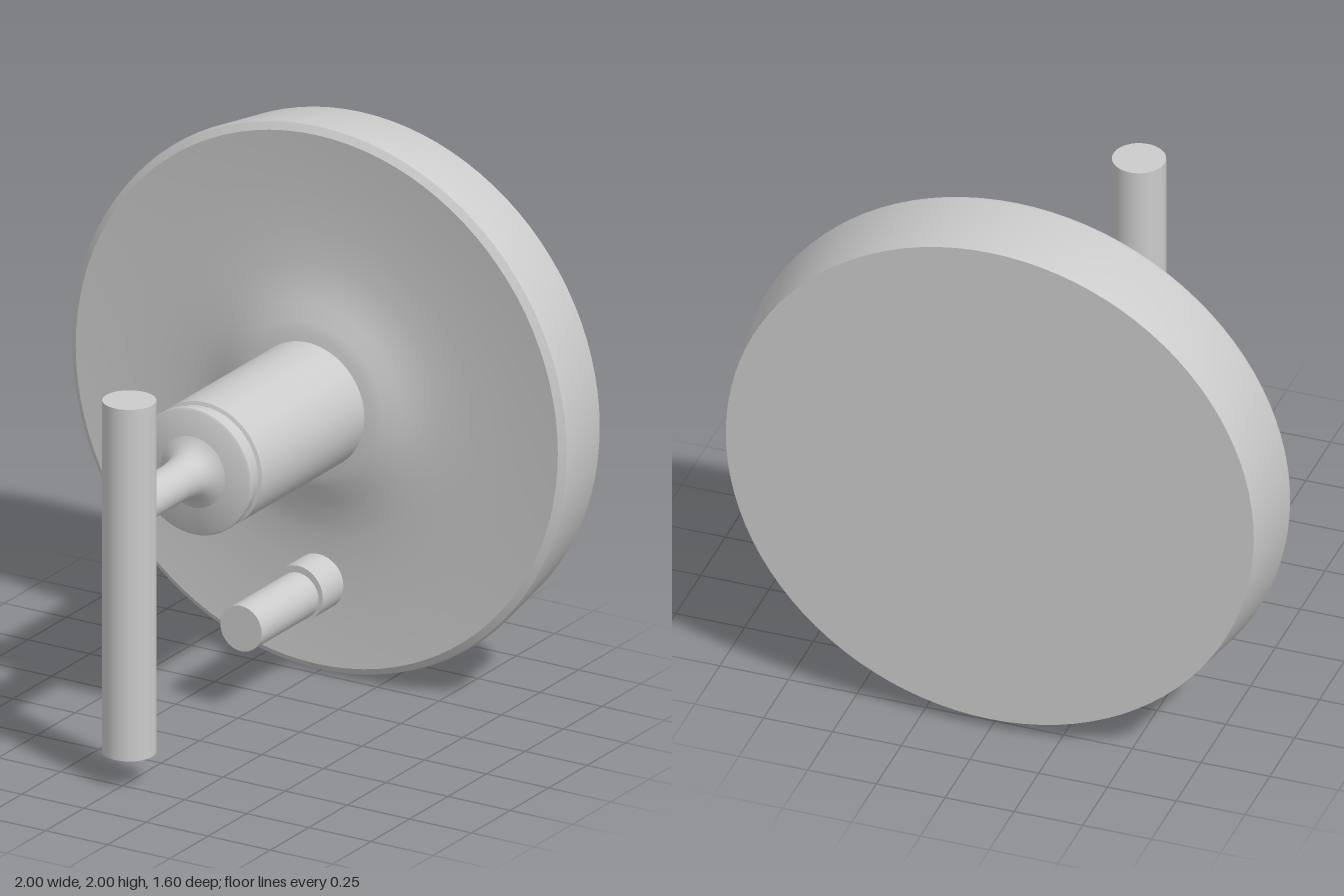
import * as THREE from 'three';
import { toCreasedNormals } from 'three/addons/utils/BufferGeometryUtils.js';

const material = new THREE.MeshStandardMaterial({ color: 0xcccccc });

// Turned part along +z: profile is a list of [radius, z] from back to front
function turned(name, profile, segments, y) {
  const points = profile.map(([r, z]) => new THREE.Vector2(r, z));
  const geometry = new THREE.LatheGeometry(points, segments);
  geometry.rotateX(Math.PI / 2);
  const mesh = new THREE.Mesh(toCreasedNormals(geometry, 0.6), material);
  mesh.name = name;
  mesh.position.y = y;
  return mesh;
}

export function createModel() {
  const group = new THREE.Group();
  group.name = 'wallValve';

  // Round wall plate: tapered side, soft rim, shallow dish rising to a centre flare
  group.add(turned('wallPlate', [
    [0, -0.8], [0.96, -0.8], [1, -0.55], [0.995, -0.53], [0.97, -0.512],
    [0.94, -0.514], [0.8, -0.522], [0.62, -0.525], [0.5, -0.519], [0.42, -0.507],
    [0.36, -0.487], [0.3, -0.463], [0.26, -0.45], [0, -0.45],
  ], 96, 1));

  // Valve body with a shallow groove behind its front lip
  group.add(turned('valveBody', [
    [0.23, -0.5], [0.23, 0.215], [0.217, 0.22], [0.217, 0.265],
    [0.23, 0.27], [0.23, 0.288], [0.222, 0.293], [0, 0.293],
  ], 48, 1));

  // Neck flaring out of the body and running into the handle
  group.add(turned('handleNeck', [
    [0.15, 0.285], [0.125, 0.295], [0.1, 0.312], [0.083, 0.335],
    [0.075, 0.365], [0.07, 0.42], [0.07, 0.65], [0.06, 0.67], [0, 0.67],
  ], 32, 1));

  // Upright bar handle
  const bar = new THREE.Mesh(new THREE.CylinderGeometry(0.093, 0.093, 1.29, 40), material);
  bar.name = 'barHandle';
  bar.position.set(0, 0.755, 0.705);
  group.add(bar);

  // Small diverter pin in its collar
  group.add(turned('diverterCollar', [[0.1, -0.55], [0.1, -0.39], [0, -0.39]], 32, 0.33));
  group.add(turned('diverterPin', [[0.083, -0.45], [0.083, -0.02], [0, -0.02]], 32, 0.322));

  return group;
}
